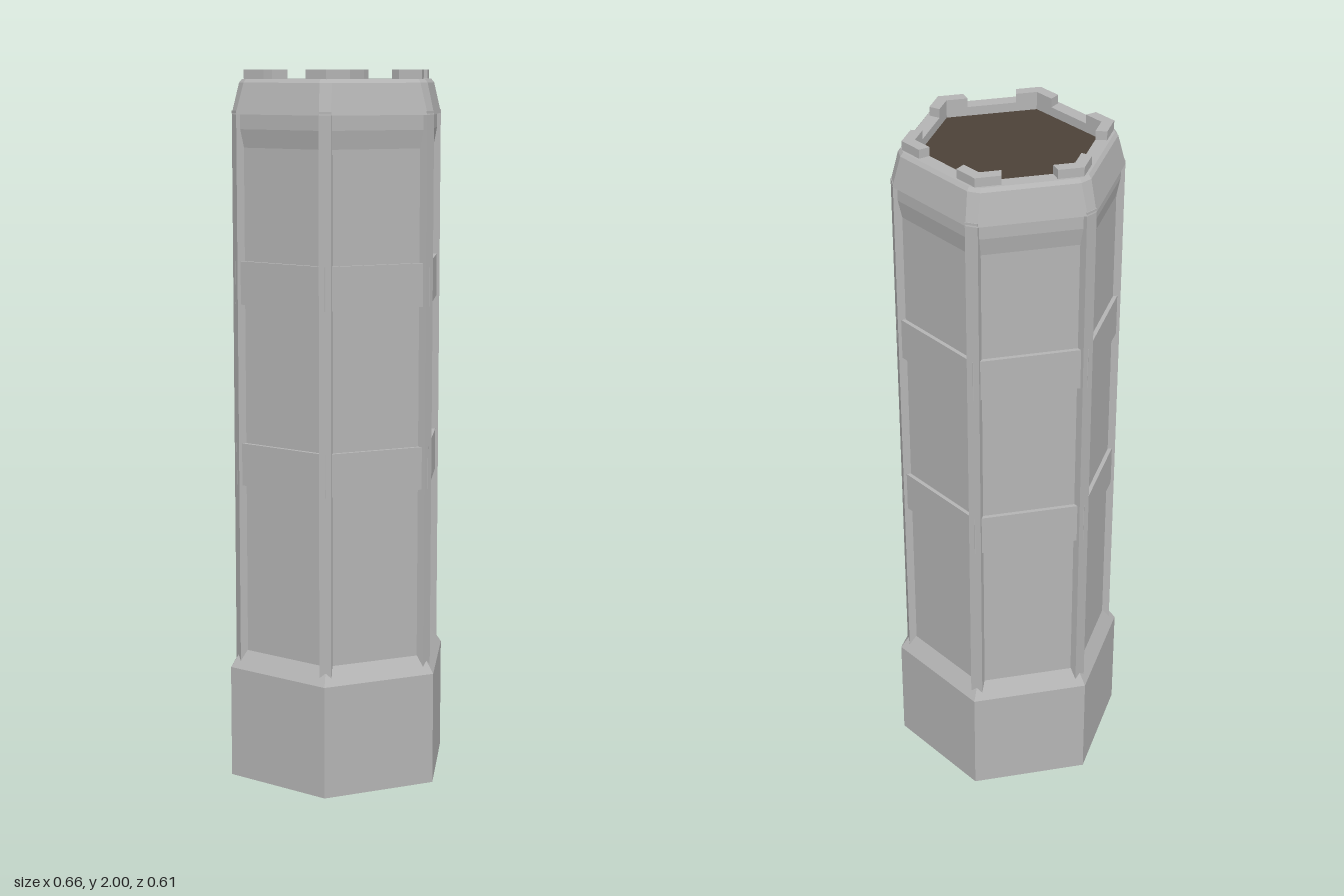
import * as THREE from 'three';

const stone = new THREE.MeshStandardMaterial({ color: 0xb4b4b4, flatShading: true });
stone.name = 'stone grey';
const earth = new THREE.MeshStandardMaterial({ color: 0x4c4238 });
earth.name = 'roof brown';

const C30 = Math.cos(Math.PI / 6), S30 = 0.5;

function part(name, geometry, material = stone) {
  const mesh = new THREE.Mesh(geometry, material);
  mesh.name = name;
  return mesh;
}

// Six-sided solid from [apothem, y] pairs, bottom to top, with a corner on +x
function hex(profile) {
  const points = profile.map(([a, y]) => new THREE.Vector2(a / C30, y));
  return new THREE.LatheGeometry(points, 6, Math.PI / 2);
}

// Hexagon with cut corners: apothem a, corner cut at distance d
function cutRing([y, a, d]) {
  const w = Math.max(0, (a - d * C30) / S30);
  const ring = [];
  for (let i = 0; i < 6; i++) {
    const t = i * Math.PI / 3, c = Math.cos(t), s = Math.sin(t);
    for (const k of [-w, w]) ring.push([d * c - k * s, y, d * s + k * c]);
  }
  return ring;
}

function loft(sections) {
  const rings = sections.map(cutRing), pos = [];
  for (let r = 0; r < rings.length - 1; r++) {
    for (let i = 0; i < 12; i++) {
      const j = (i + 1) % 12;
      const p = rings[r][i], q = rings[r][j], u = rings[r + 1][i], v = rings[r + 1][j];
      pos.push(...p, ...u, ...q, ...q, ...u, ...v);
    }
  }
  const g = new THREE.BufferGeometry();
  g.setAttribute('position', new THREE.Float32BufferAttribute(pos, 3));
  g.computeVertexNormals();
  return g;
}

// V-shaped battlement block wrapping the corner on +x
function merlonGeometry() {
  const inner = 0.213, outer = 0.243;
  const onEdge = (a, t) => [a * C30 + t * S30, a * S30 - t * C30];
  const [ix, iy] = onEdge(inner, 0.066), [ox, oy] = onEdge(outer, 0.072);
  const shape = new THREE.Shape([
    [inner / C30, 0], [ix, -iy], [ox, -oy], [outer / C30, 0], [ox, oy], [ix, iy],
  ].map(([x, y]) => new THREE.Vector2(x, y)));
  const g = new THREE.ExtrudeGeometry(shape, { depth: 0.03, bevelEnabled: false });
  return g.rotateX(-Math.PI / 2).translate(0, 1.97, 0);
}

export function createModel() {
  const model = new THREE.Group();
  model.name = 'hexagonalTower';
  const tower = new THREE.Group();
  tower.name = 'tower';
  tower.rotation.y = THREE.MathUtils.degToRad(5.15);
  model.add(tower);

  // Plinth with sloped shoulder
  tower.add(part('plinth', hex([[0, 0], [0.289, 0], [0.289, 0.32], [0.259, 0.37]])));

  // Recessed wall panels, flaring out under the cornice
  tower.add(part('wall', hex([[0.258, 0.36], [0.258, 1.79], [0.267, 1.84], [0.267, 1.89]])));

  // Horizontal bands
  for (const y of [0.85, 1.36]) {
    tower.add(part('band', hex([[0.255, y], [0.269, y], [0.269, y + 0.12], [0.255, y + 0.12]])));
  }

  // Corner pillars and battlements
  const pillar = new THREE.BoxGeometry(0.05, 1.55, 0.034).translate(0.285, 1.115, 0);
  const merlon = merlonGeometry();
  for (let i = 0; i < 6; i++) {
    const corner = new THREE.Group();
    corner.name = 'corner';
    corner.rotation.y = i * Math.PI / 3;
    corner.add(part('pillar', pillar), part('merlon', merlon));
    tower.add(corner);
  }

  // Cornice with cut corners, flat rim and inner parapet face
  tower.add(part('cornice', loft([
    [1.88, 0.255, 0.29], [1.88, 0.277, 0.311], [1.965, 0.258, 0.288], [1.975, 0.25, 0.28],
    [1.975, 0.213, 0.246], [1.94, 0.213, 0.246],
  ])));

  // Roof floor inside the parapet
  const floor = new THREE.CircleGeometry(0.247, 6).rotateX(-Math.PI / 2).translate(0, 1.95, 0);
  tower.add(part('roofFloor', floor, earth));

  return model;
}
